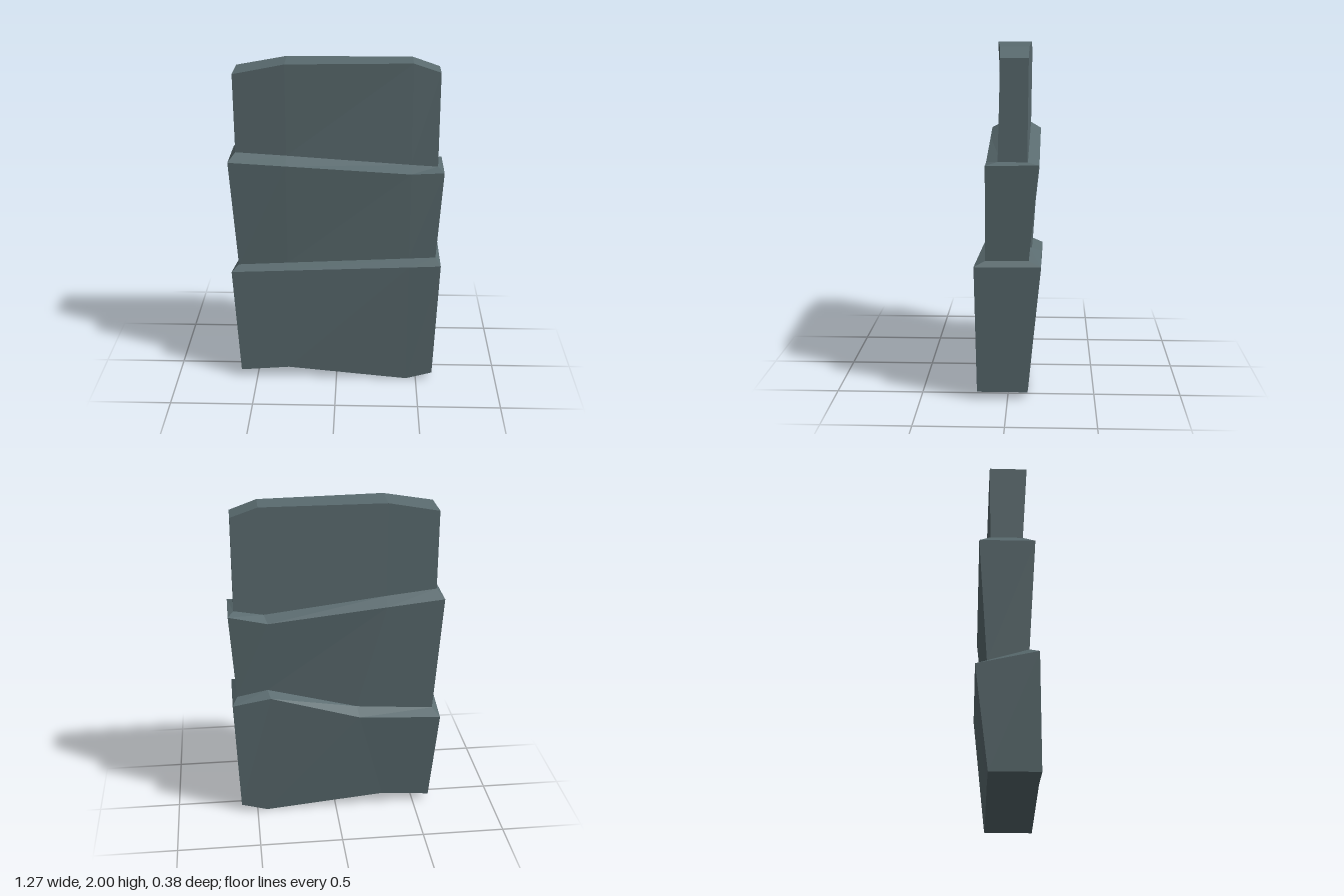
import * as THREE from 'three';

// Each level: four columns of [x, y, z] along the front and along the back, from -x to +x
const LEVELS = [
  { // base
    front: [[-0.6, 0.045, 0.17], [-0.3, 0.07, 0.172], [0.44, 0, 0.174], [0.6, 0.045, 0.175]],
    back: [[-0.6, 0.045, -0.115], [-0.3, 0.07, -0.115], [0.44, 0, -0.115], [0.6, 0.045, -0.115]],
  },
  { // lower ledge, outer rim
    front: [[-0.64, 0.725, 0.165], [-0.3, 0.742, 0.171], [0.44, 0.78, 0.185], [0.63, 0.79, 0.188]],
    back: [[-0.64, 0.645, -0.19], [-0.14, 0.673, -0.19], [0.4, 0.832, -0.19], [0.63, 0.793, -0.19]],
  },
  { // lower ledge, inner rim
    front: [[-0.6, 0.752, 0.11], [-0.3, 0.769, 0.113], [0.44, 0.811, 0.122], [0.6, 0.82, 0.124]],
    back: [[-0.6, 0.682, -0.125], [-0.13, 0.717, -0.125], [0.415, 0.859, -0.122], [0.6, 0.821, -0.12]],
  },
  { // upper ledge, outer rim
    front: [[-0.64, 1.425, 0.148], [-0.3, 1.403, 0.141], [0.44, 1.355, 0.126], [0.635, 1.363, 0.122]],
    back: [[-0.64, 1.423, -0.175], [-0.3, 1.388, -0.175], [0.405, 1.314, -0.175], [0.635, 1.366, -0.175]],
  },
  { // upper ledge, inner rim
    front: [[-0.6, 1.467, 0.078], [-0.3, 1.446, 0.071], [0.44, 1.39, 0.055], [0.6, 1.38, 0.053]],
    back: [[-0.6, 1.467, -0.11], [-0.3, 1.434, -0.11], [0.425, 1.347, -0.11], [0.6, 1.378, -0.11]],
  },
  { // crown
    front: [[-0.6, 1.945, 0.104], [-0.3, 2, 0.089], [0.44, 2, 0.047], [0.6, 1.945, 0.038]],
    back: [[-0.6, 1.945, -0.117], [-0.3, 2, -0.117], [0.44, 2, -0.117], [0.6, 1.945, -0.117]],
  },
];

// Collects separate quads, corners counter-clockwise from outside, for flat shading
function facetedGeometry(quads) {
  const positions = quads.flatMap(([a, b, c, d]) => [a, b, c, a, c, d].flat());
  const geometry = new THREE.BufferGeometry();
  geometry.setAttribute('position', new THREE.Float32BufferAttribute(positions, 3));
  geometry.computeVertexNormals();
  return geometry;
}

// Closed loop around one level, counter-clockwise from above
const ring = ({ front, back }) => [...front, ...[...back].reverse()];

// Wall between two levels
function band(lower, upper) {
  const a = ring(lower), b = ring(upper);
  return a.map((p, i) => {
    const j = (i + 1) % a.length;
    return [p, a[j], b[j], b[i]];
  });
}

// End cap made of strips running front to back
function cap({ front, back }, up) {
  return [0, 1, 2].map((i) => {
    const quad = [front[i], front[i + 1], back[i + 1], back[i]];
    return up ? quad : quad.reverse();
  });
}

export function createModel() {
  const group = new THREE.Group();
  group.name = 'layeredRock';
  const stone = new THREE.MeshStandardMaterial({ color: 0x5a6b6f, flatShading: true });
  stone.name = 'slate grey';

  const add = (name, quads) => {
    const mesh = new THREE.Mesh(facetedGeometry(quads), stone);
    mesh.name = name;
    group.add(mesh);
  };

  // Three stacked layers joined by two sloping ledges
  const names = ['lowerLayer', 'lowerLedge', 'middleLayer', 'upperLedge', 'upperLayer'];
  names.forEach((name, i) => add(name, band(LEVELS[i], LEVELS[i + 1])));
  add('underside', cap(LEVELS[0], false));
  add('crown', cap(LEVELS[5], true));
  return group;
}
